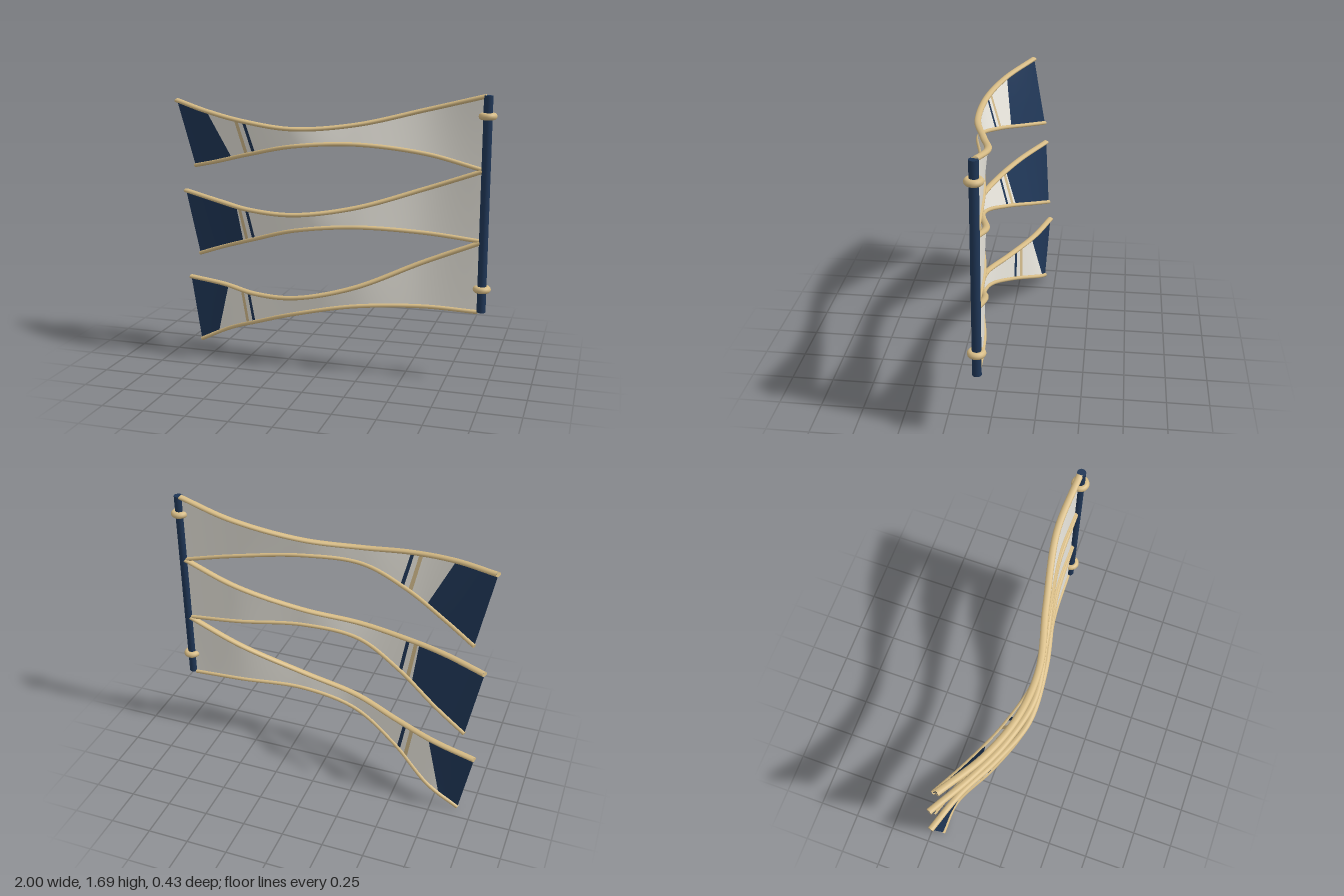
import * as THREE from 'three';

const mat = (name, color, side = THREE.FrontSide) => {
  const m = new THREE.MeshStandardMaterial({ color, side });
  m.name = name;
  return m;
};

// Shared x stations of all edges; only the free end and the pole end differ
const INNER = [-0.72, -0.45, -0.15, 0.2, 0.6];
const TOP_X = [-0.99, ...INNER, 0.935];
const BOTTOM_X = [-0.915, ...INNER, 0.925];
const POLE_X = 0.947, POLE_Z = 0.05;

const edge = (xs, ys, zs) => xs.map((x, i) => new THREE.Vector3(x, ys[i], zs[i] ?? 0.045));

// Band edges, plus [topX, bottomX] where the navy tip ends and the stripes start
const BANDS = [
  {
    name: 'upperBand', tip: [-0.73, -0.59], stripes: [-0.525, -0.486],
    top: edge(TOP_X, [1.598, 1.551, 1.508, 1.476, 1.503, 1.595, 1.68], [-0.07, 0.085, 0.172, 0.186, 0.105, 0.027]),
    bottom: edge(BOTTOM_X, [1.182, 1.233, 1.308, 1.376, 1.393, 1.347, 1.268], [-0.153, -0.035, 0.1, 0.178, 0.12, 0.053]),
  },
  {
    name: 'middleBand', tip: [-0.555, -0.54], stripes: [-0.545, -0.52],
    top: edge(TOP_X, [1.015, 0.994, 0.969, 0.969, 1.02, 1.142, 1.262], [-0.16, -0.01, 0.107, 0.172, 0.118, 0.04]),
    bottom: edge(BOTTOM_X, [0.6, 0.676, 0.776, 0.872, 0.908, 0.887, 0.856], [-0.19, -0.105, 0.045, 0.15, 0.125, 0.053]),
  },
  {
    name: 'lowerBand', tip: [-0.685, -0.79], stripes: [-0.58, -0.546],
    top: edge(TOP_X, [0.433, 0.428, 0.42, 0.453, 0.541, 0.71, 0.85], [-0.2, -0.11, 0.025, 0.14, 0.13, 0.05]),
    bottom: edge(BOTTOM_X, [0.018, 0.115, 0.238, 0.352, 0.427, 0.444, 0.434], [-0.175, -0.15, 0.01, 0.128, 0.124, 0.058]),
  },
];

const curveOf = (pts, sy = 1) =>
  new THREE.CatmullRomCurve3(pts.map((p) => new THREE.Vector3(p.x, p.y * sy, p.z)));

// Point of an edge curve at a given x
function atX(curve, x) {
  let a = 0, b = 1;
  for (let i = 0; i < 24; i++) {
    const m = (a + b) / 2;
    if (curve.getPoint(m).x < x) a = m; else b = m;
  }
  return curve.getPoint((a + b) / 2);
}

// Ruled cloth strip between two edge curves, from cut c0 to cut c1
function clothStrip(top, bottom, c0, c1) {
  const n = Math.max(2, Math.ceil(Math.abs(c1[0] - c0[0]) * 40)), rows = 8;
  const pos = [], idx = [];
  for (let i = 0; i <= n; i++) {
    const p = atX(top, THREE.MathUtils.lerp(c0[0], c1[0], i / n));
    const q = atX(bottom, THREE.MathUtils.lerp(c0[1], c1[1], i / n));
    for (let j = 0; j <= rows; j++) {
      pos.push(...q.clone().lerp(p, j / rows).toArray());
      if (i < n && j < rows) {
        const a = i * (rows + 1) + j, b = a + rows + 1;
        idx.push(a, b, a + 1, b, b + 1, a + 1);
      }
    }
  }
  const g = new THREE.BufferGeometry();
  g.setAttribute('position', new THREE.Float32BufferAttribute(pos, 3));
  g.setIndex(idx);
  g.computeVertexNormals();
  return g;
}

// Edge piping: a tube flattened in height by k, with closed ends
function piping(pts, radius, k, material, name) {
  const group = new THREE.Group();
  group.name = name;
  const tube = new THREE.TubeGeometry(curveOf(pts, 1 / k), 96, radius, 12);
  tube.scale(1, k, 1);
  const body = new THREE.Mesh(tube, material);
  body.name = 'pipingTube';
  group.add(body);
  const curve = curveOf(pts);
  for (const t of [0, 1]) {
    const cap = new THREE.Mesh(new THREE.CircleGeometry(radius, 12), material);
    cap.name = 'pipingEnd';
    cap.position.copy(curve.getPoint(t));
    cap.scale.y = k;
    cap.lookAt(cap.position.clone().addScaledVector(curve.getTangent(t), t ? 1 : -1));
    group.add(cap);
  }
  return group;
}

export function createModel() {
  const navy = mat('navy', 0x1f3656);
  const navyCloth = mat('navy cloth', 0x1f3656, THREE.DoubleSide);
  const tan = mat('tan', 0xd6bb85);
  const tanCloth = mat('tan cloth', 0xd0b98a, THREE.DoubleSide);
  const ivory = mat('ivory cloth', 0xe6e3da, THREE.DoubleSide);

  const model = new THREE.Group();
  model.name = 'streamerBanner';

  // Pole with two ring collars
  const pole = new THREE.Mesh(new THREE.CylinderGeometry(0.026, 0.026, 1.247, 16), navy);
  pole.name = 'pole';
  pole.position.set(POLE_X, 1.061, POLE_Z);
  model.add(pole);
  for (const y of [0.575, 1.57]) {
    const ring = new THREE.Mesh(new THREE.TorusGeometry(0.032, 0.02, 12, 28), tan);
    ring.name = 'poleRing';
    ring.rotation.x = Math.PI / 2;
    ring.position.set(POLE_X, y, POLE_Z);
    model.add(ring);
  }

  // Three twisting bands: navy tip, ivory cloth, tan and navy stripes
  const parts = [['tip', navyCloth], ['tipGap', ivory], ['tanStripe', tanCloth],
    ['stripeGap', ivory], ['navyStripe', navyCloth], ['cloth', ivory]];
  for (const { name, tip, stripes, top, bottom } of BANDS) {
    const band = new THREE.Group();
    band.name = name;
    const topCurve = curveOf(top), bottomCurve = curveOf(bottom);
    const stripeCuts = [0, 0.024, 0.055, 0.077].map((d) => stripes.map((x) => x + d));
    const cuts = [[TOP_X[0], BOTTOM_X[0]], tip, ...stripeCuts, [TOP_X.at(-1), BOTTOM_X.at(-1)]];
    parts.forEach(([part, material], i) => {
      const mesh = new THREE.Mesh(clothStrip(topCurve, bottomCurve, cuts[i], cuts[i + 1]), material);
      mesh.name = part;
      band.add(mesh);
    });
    band.add(piping(top, 0.02, 0.65, tan, 'topPiping'));
    band.add(piping(bottom, 0.013, 0.95, tan, 'bottomPiping'));
    model.add(band);
  }
  return model;
}
